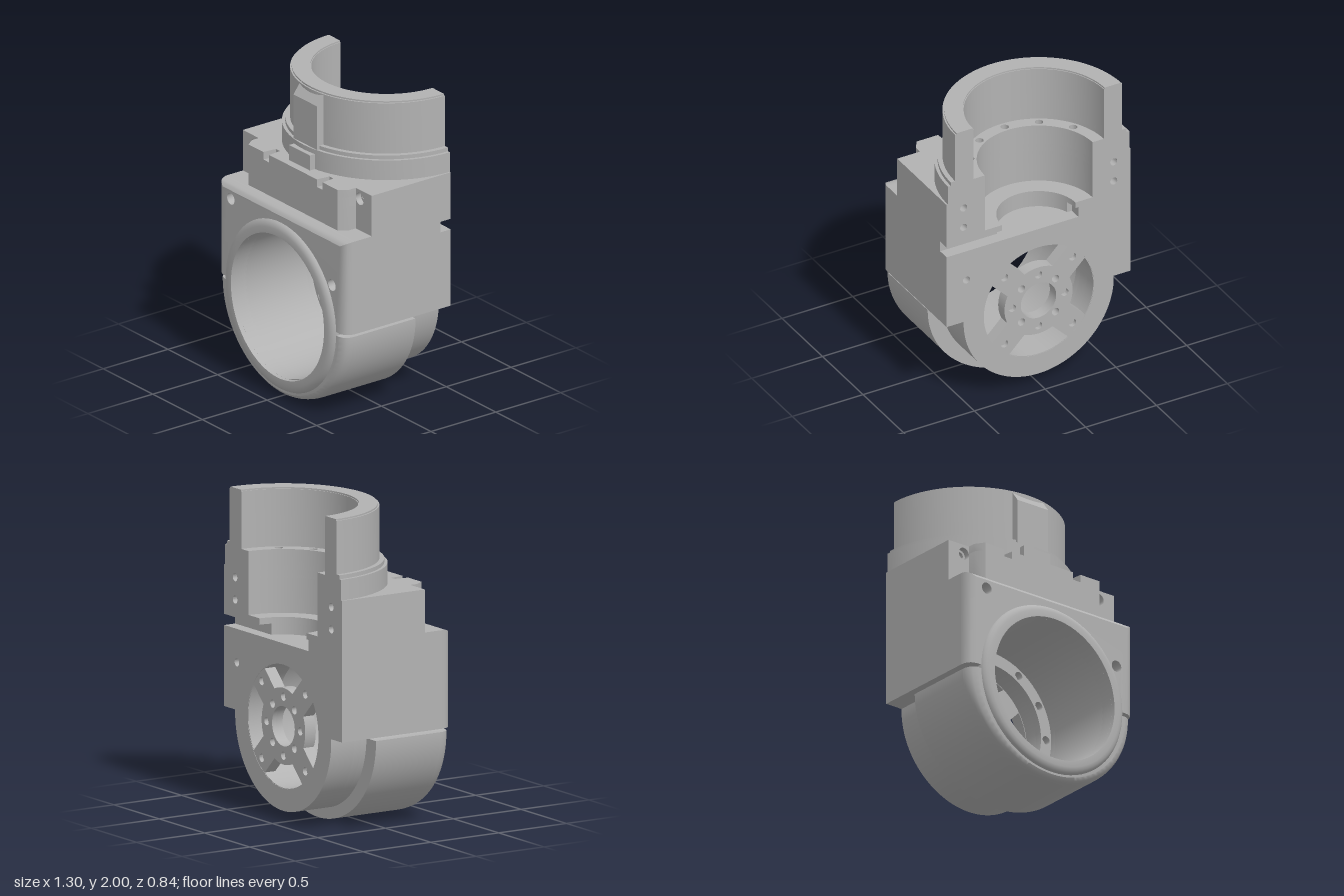
import * as THREE from 'three';
import { toCreasedNormals } from 'three/addons/utils/BufferGeometryUtils.js';

const CY = 0.6;      // height of the motor bore axis
const BACK = -0.42;  // split plane at the back

export function createModel() {
  const group = new THREE.Group();
  const grey = new THREE.MeshStandardMaterial({ color: 0xb2b2b2 });
  grey.name = 'grey plastic';

  const add = (name, geo) => {
    const mesh = new THREE.Mesh(toCreasedNormals(geo, 0.6), grey);
    mesh.name = name;
    group.add(mesh);
  };
  const circle = (x, y, r) => {
    const n = r > 0.1 ? 72 : 20;
    return new THREE.Path(Array.from({ length: n }, (_, i) => {
      const a = (i + 0.3) / n * Math.PI * 2;
      return new THREE.Vector2(x + r * Math.cos(a), y + r * Math.sin(a));
    }));
  };
  const poly = (pts) => new THREE.Shape(pts.map(([x, y]) => new THREE.Vector2(x, y)));
  const extrude = (shape, depth, steps = 1) =>
    new THREE.ExtrudeGeometry(shape, { depth, steps, bevelEnabled: false, curveSegments: 40 });
  // Layers stacked along z, from z0 to z1
  const layerZ = (name, shape, z0, z1, holes = []) => {
    shape.holes.push(...holes);
    add(name, extrude(shape, z1 - z0).translate(0, 0, z0));
  };
  // Layers stacked along y; the shape's y is -z
  const layerY = (name, shape, y0, y1, holes = []) => {
    shape.holes.push(...holes);
    add(name, extrude(shape, y1 - y0).rotateX(-Math.PI / 2).translate(0, y0, 0));
  };

  // Motor housing outline: square top, side slits, rounded bottom
  const frontOutline = () => {
    const s = new THREE.Shape();
    s.moveTo(-0.65, 1.23);
    s.lineTo(-0.65, 0.612);
    s.lineTo(-0.55, 0.612);
    s.lineTo(-0.54, 0.607);
    s.lineTo(-0.54, 0.593);
    s.lineTo(-0.55, 0.588);
    s.lineTo(-0.635, 0.588);
    s.absellipse(0, 0.585, 0.635, 0.585, Math.PI, Math.PI * 2, false, 0);
    s.lineTo(0.635, 0.588);
    s.lineTo(0.55, 0.588);
    s.lineTo(0.54, 0.593);
    s.lineTo(0.54, 0.607);
    s.lineTo(0.55, 0.612);
    s.lineTo(0.65, 0.612);
    s.lineTo(0.65, 1.23);
    return s;
  };
  const backOutline = () => {
    const s = new THREE.Shape();
    s.moveTo(-0.65, 1.12);
    s.lineTo(-0.65, 0.612);
    s.lineTo(-0.53, 0.612);
    s.absarc(0, CY, 0.53, Math.PI, Math.PI * 2, false);
    s.lineTo(0.53, 0.612);
    s.lineTo(0.65, 0.612);
    s.lineTo(0.65, 1.12);
    return s;
  };
  const bore = (r) => circle(0, CY, r);
  const screws = [[-0.51, 1.14], [0.51, 0.91]];
  const screwHoles = (r) => screws.map(([x, y]) => circle(x, y, r));
  const throughHole = () => circle(0.51, 0.91, 0.025);

  layerZ('motorHousing', frontOutline(), -0.16, 0.31, [bore(0.47), ...screwHoles(0.025)]);

  // Rounded front of the housing: outer edge shrinks along a quarter circle
  const faceShape = frontOutline();
  faceShape.holes.push(bore(0.47), ...screwHoles(0.038));
  const depth = 0.08;
  const face = extrude(faceShape, depth, 6);
  const p = face.attributes.position;
  for (let i = 0; i < p.count; i++) {
    const x = p.getX(i), y = p.getY(i), t = p.getZ(i) / depth;
    const fixed = Math.hypot(x, y - CY) < 0.475 ||
      (Math.abs(x) < 0.56 && Math.abs(y - CY) < 0.02) ||
      screws.some(([sx, sy]) => Math.hypot(x - sx, y - sy) < 0.045);
    if (fixed) continue;
    const k = 1 - Math.sqrt(Math.max(0, 1 - t * t));
    p.setXY(i, x * (1 - 0.09 * k), CY + (y - CY) * (1 - 0.055 * k));
  }
  add('housingFront', face.translate(0, 0, 0.31));

  // Raised lip around the bore
  const lip = [[0.47, 0.3], [0.556, 0.3], [0.556, 0.385], [0.545, 0.403], [0.53, 0.414], [0.51, 0.42], [0.47, 0.42], [0.47, 0.3]];
  add('boreLip', new THREE.LatheGeometry(lip.map(([r, z]) => new THREE.Vector2(r, z)), 72)
    .rotateX(Math.PI / 2).translate(0, CY, 0));

  // Back of the housing with the bolt ledge
  const bolts = Array.from({ length: 12 }, (_, i) => {
    const a = i * Math.PI / 6;
    return circle(0.43 * Math.cos(a), CY + 0.43 * Math.sin(a), 0.028);
  });
  layerZ('boreStep', backOutline(), -0.2, -0.16, [bore(0.47), throughHole()]);
  layerZ('boltLedge', backOutline(), -0.25, -0.2, [bore(0.39), throughHole(), ...bolts]);
  layerZ('housingBack', backOutline(), BACK, -0.25, [bore(0.39), throughHole()]);

  // Spoked motor mount with hub holes; the extra holes at the back are blind
  const windows = () => [0, 1, 2, 3].map((i) => {
    const w = new THREE.Path(), c = i * Math.PI / 2, w0 = 0.085;
    const outer = Math.PI / 4 - Math.asin(w0 / 0.386);
    const inner = Math.PI / 4 - Math.asin(w0 / 0.24);
    w.absarc(0, CY, 0.386, c - outer, c + outer, false);
    w.absarc(0, CY, 0.24, c + inner, c - inner, true);
    return w;
  });
  const fourHoles = (r, start) => [0, 1, 2, 3].map((i) => {
    const a = start + i * Math.PI / 2;
    return circle(r * Math.cos(a), CY + r * Math.sin(a), 0.026);
  });
  const mountHoles = () => [circle(0, CY, 0.125), ...windows(), ...fourHoles(0.17, Math.PI / 4)];
  const disc = () => new THREE.Shape(bore(0.394).getPoints());
  layerZ('motorMount', disc(), -0.39, -0.34, mountHoles());
  layerZ('motorMountBack', disc(), -0.418, -0.39,
    [...mountHoles(), ...fourHoles(0.185, 0), ...fourHoles(0.34, Math.PI / 4)]);

  // Half-round cut-outs around the upper axis, which lies on the back plane
  const cutBlock = (left, r, back = 0.42) => {
    const s = poly([...left, ...left.slice().reverse().map(([x, y]) => [-x, y])]);
    const a = Math.asin((0.42 - back) / r);
    s.lineTo(r * Math.cos(a), back);
    s.absarc(0, 0.42, r, Math.PI * 2 - a, Math.PI + a, true);
    return s;
  };
  layerY('socketFloor', cutBlock([[-0.65, 0.42], [-0.65, 0.16]], 0.26), 1.19, 1.23);
  layerY('grooveFloor', cutBlock([[-0.65, 0.34], [-0.65, 0.16]], 0.26, 0.34), 1.12, 1.19);
  // The back groove is open on the left side only
  add('grooveEnd', new THREE.BoxGeometry(0.37, 0.07, 0.08).translate(-0.465, 1.155, -0.38));

  // Shoulder between housing and socket, notched along its top front edge
  const edge = [[-0.49, 0.42], [-0.49, -0.24], [-0.45, -0.3]];
  const notch = [[-0.3, -0.3], [-0.29, -0.21], [-0.25, -0.21], [-0.24, -0.3]];
  layerY('shoulder', cutBlock(edge, 0.38), 1.23, 1.45);
  layerY('shoulderTop', cutBlock([...edge, ...notch], 0.38), 1.45, 1.5);

  // Corner columns with screw holes
  for (const s of [-1, 1]) {
    const column = () => poly([[s * 0.565 - 0.085, 1.23], [s * 0.565 + 0.085, 1.23],
      [s * 0.565 + 0.085, 1.5], [s * 0.565 - 0.085, 1.5]]);
    const screw = (r) => circle(s * 0.53, 1.44, r);
    layerZ('cornerColumnBack', column(), BACK, -0.35, [screw(0.025), circle(s * 0.53, 1.3, 0.025)]);
    layerZ('cornerColumn', column(), -0.35, 0.15, [screw(0.025)]);
    layerZ('cornerColumnFront', column(), 0.15, 0.19, [screw(0.04)]);
  }

  // Half-ring socket: wide collar, then the upper wall
  const halfRing = (outer, inner) => {
    const s = new THREE.Shape();
    s.absarc(0, 0.42, outer, Math.PI, Math.PI * 2, false);
    s.absarc(0, 0.42, inner, Math.PI * 2, Math.PI, true);
    return s;
  };
  const ledgeHoles = [30, 60, 90, 120, 150].map((d) => {
    const a = d * Math.PI / 180;
    return circle(0.42 * Math.cos(a), 0.42 - 0.42 * Math.sin(a), 0.026);
  });
  layerY('collar', halfRing(0.64, 0.38), 1.5, 1.63, ledgeHoles);
  layerY('collarStep', halfRing(0.62, 0.46), 1.63, 1.655);
  layerY('socketWall', halfRing(0.59, 0.46), 1.655, 1.99);
  layerY('socketRim', halfRing(0.58, 0.465), 1.99, 2.0);

  // Front key rib with sloped top, and the small catch below it
  const rib = poly([[-0.1, 1.6], [-0.205, 1.6], [-0.205, 1.92], [-0.145, 2], [-0.1, 2]]);
  add('keyRib', extrude(rib, 0.24).rotateY(Math.PI / 2).translate(-0.12, 0, 0));
  add('catch', new THREE.BoxGeometry(0.21, 0.1, 0.1).translate(0, 1.55, 0.2));

  return group;
}
